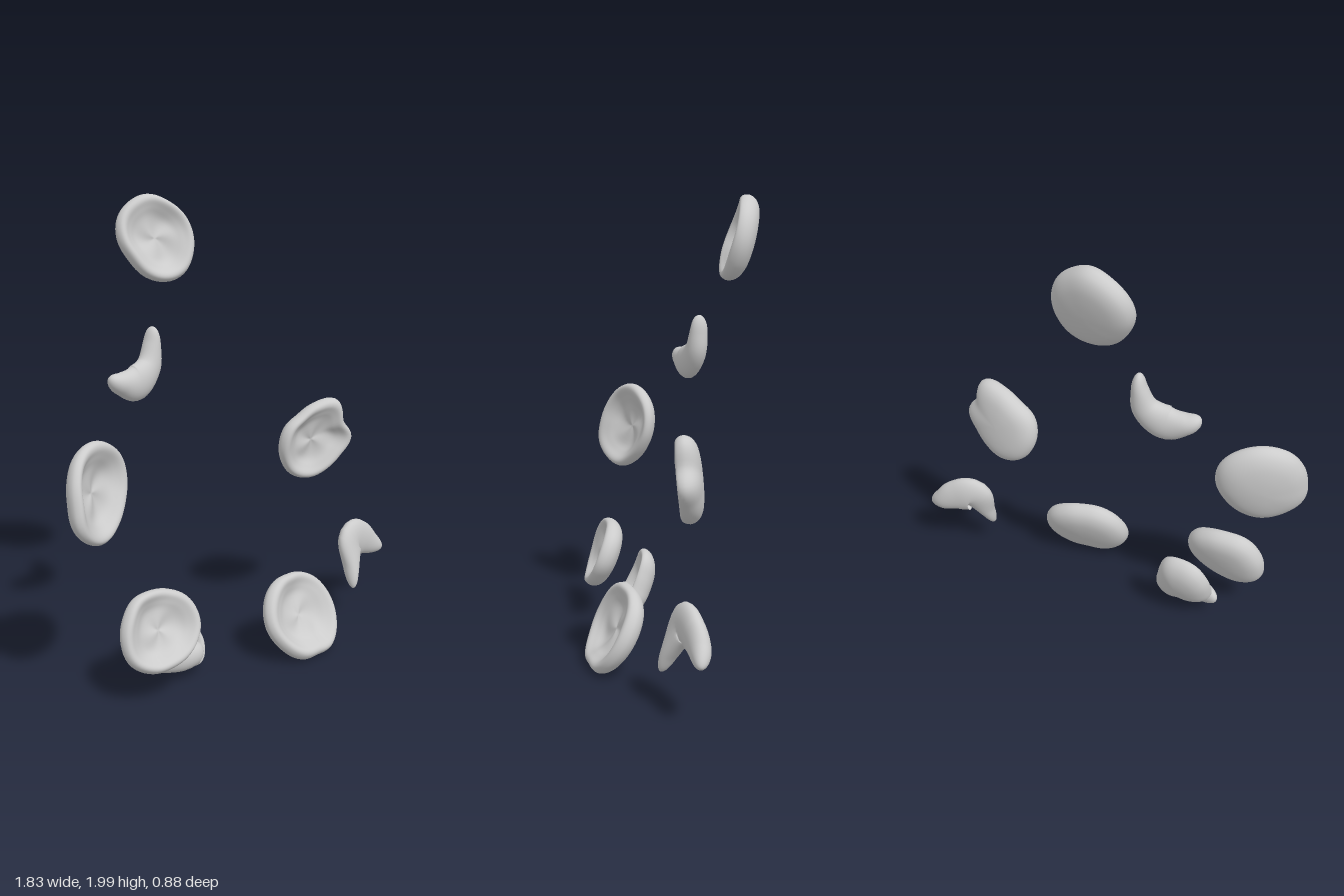
import * as THREE from 'three';
import { mergeVertices } from 'three/addons/utils/BufferGeometryUtils.js';

const V3 = (p) => new THREE.Vector3(...p);

// Weld seams so the deformed surface shades smoothly
function finish(geometry, name, material) {
  geometry.deleteAttribute('uv');
  geometry.deleteAttribute('normal');
  const welded = mergeVertices(geometry, 1e-5);
  welded.computeVertexNormals();
  const mesh = new THREE.Mesh(welded, material);
  mesh.name = name;
  return mesh;
}

// Smooth closed interpolation of outline radii spaced evenly by angle
function radiusAt(radii, angle) {
  const n = radii.length;
  const f = ((angle / (2 * Math.PI)) * n + n) % n;
  const i = Math.floor(f), t = f - i;
  const [a, b, c, d] = [-1, 0, 1, 2].map((k) => radii[(i + k + n) % n]);
  return b + 0.5 * t * (c - a + t * (2 * a - 5 * b + 4 * c - d + t * (3 * (b - c) + d - a)));
}

// Cross-section from back centre, round the rim, to the dimpled front centre
const PROFILE = new THREE.SplineCurve([
  [0, -0.05], [0.4, -0.048], [0.72, -0.04], [0.92, -0.02], [1, 0.012],
  [0.95, 0.042], [0.84, 0.05], [0.68, 0.034], [0.45, 0.014], [0, 0.008],
].map((p) => new THREE.Vector2(...p)));

// Dimpled disc cell: slope gives the tilt dz/dx and dz/dy, cup bows it backward
function discCell({ name, at, slope: [a, b], radii, thick = 1, cup = 0, phase = 0 }, material) {
  const profile = PROFILE.getPoints(44);
  profile.forEach((p) => { p.x = Math.max(p.x, 0); });
  profile[0].x = profile[profile.length - 1].x = 0;
  const geometry = new THREE.LatheGeometry(profile, 64);
  const pos = geometry.attributes.position;
  const normal = new THREE.Vector3(-a, -b, 1).normalize();
  const v = new THREE.Vector3();
  for (let i = 0; i < pos.count; i++) {
    const lx = pos.getZ(i), ly = pos.getX(i);
    let h = pos.getY(i) * thick;
    const s = Math.hypot(lx, ly), angle = Math.atan2(ly, lx);
    const r = s * radiusAt(radii, angle);
    // Soft creases in the dimple and a slightly uneven rim
    if (h > 0) h += 0.007 * s * (1 - s) * 4 * Math.sin(3 * angle + phase + 4 * s);
    h += 0.006 * s * s * Math.sin(2 * angle + phase) + cup * (s * s - 0.5);
    const dx = r * Math.cos(angle), dy = r * Math.sin(angle);
    v.set(dx, dy, a * dx + b * dy).addScaledVector(normal, h).add(V3(at));
    pos.setXYZ(i, v.x, v.y, v.z);
  }
  return finish(geometry, name, material);
}

// Curved cell: a sphere stretched along a spine; each node is x, y, z, half width, half depth
function crescentCell(name, nodes, material) {
  const spine = new THREE.CatmullRomCurve3(nodes.map((n) => V3(n.slice(0, 3))), false, 'catmullrom');
  const size = new THREE.CatmullRomCurve3(nodes.map((n) => V3([n[3], n[4], 0])), false, 'catmullrom');
  const geometry = new THREE.SphereGeometry(1, 32, 48);
  const pos = geometry.attributes.position;
  for (let i = 0; i < pos.count; i++) {
    const x = pos.getX(i), y = THREE.MathUtils.clamp(pos.getY(i), -1, 1), z = pos.getZ(i);
    const t = (y + 1) / 2;
    const p = spine.getPoint(t), s = size.getPoint(t), g = spine.getTangent(t);
    const len = Math.hypot(g.x, g.y), ring = Math.hypot(x, z);
    const k = ring < 1e-6 ? 0 : Math.sqrt(1 - y ** 8) / ring;
    const side = x * k * s.x;
    pos.setXYZ(i, p.x + (side * g.y) / len, p.y - (side * g.x) / len, p.z + z * k * s.y);
  }
  return finish(geometry, name, material);
}

export function createModel() {
  const group = new THREE.Group();
  group.name = 'cells';
  const material = new THREE.MeshStandardMaterial({ color: 0xcccccc });

  // Dimpled discs, outline radii every 30 degrees from +x
  const discs = [
    {
      name: 'topDisc', at: [-0.05, 1.81, -0.335], slope: [0.32, -0.3], cup: 0.01,
      radii: [0.17, 0.17, 0.17, 0.182, 0.178, 0.178, 0.175, 0.17, 0.182, 0.185, 0.182, 0.172],
    },
    {
      name: 'leftDisc', at: [-0.725, 0.89, -0.05], slope: [-0.28, -0.16], cup: 0.03, thick: 0.9, phase: 1,
      radii: [0.19, 0.2, 0.2, 0.203, 0.2, 0.19, 0.19, 0.21, 0.205, 0.2, 0.185, 0.18],
    },
    {
      name: 'rightDisc', at: [0.49, 0.88, 0.12], slope: [0.38, 0.1], cup: 0.01, thick: 0.95, phase: 2,
      radii: [0.19, 0.163, 0.21, 0.178, 0.155, 0.165, 0.165, 0.168, 0.178, 0.18, 0.168, 0.167],
    },
    {
      name: 'lowerLeftDisc', at: [-0.565, 0.3, 0.14], slope: [0.25, -0.38], cup: 0.01, phase: 3,
      radii: [0.185, 0.19, 0.17, 0.158, 0.163, 0.165, 0.178, 0.192, 0.175, 0.153, 0.15, 0.162],
    },
    {
      name: 'bottomDisc', at: [0.15, 0.178, 0.318], slope: [0.05, -0.52], cup: 0.01, phase: 4,
      radii: [0.207, 0.2, 0.178, 0.167, 0.182, 0.2, 0.21, 0.195, 0.185, 0.17, 0.188, 0.2],
    },
    {
      name: 'foldedCellBack', at: [-0.38, 0.19, 0.03], slope: [0.28, -0.45], cup: 0.03, thick: 0.8, phase: 5,
      radii: [0.12, 0.125, 0.152, 0.148, 0.148, 0.14, 0.14, 0.155, 0.15, 0.135, 0.165, 0.148],
    },
  ];
  discs.forEach((disc) => group.add(discCell(disc, material)));

  // Forward-turned lip of the folded cell
  group.add(crescentCell('foldedCellLip', [
    [-0.555, 0.13, 0.04, 0.035, 0.03], [-0.49, 0.12, 0.08, 0.055, 0.045],
    [-0.41, 0.115, 0.12, 0.06, 0.05], [-0.33, 0.11, 0.13, 0.05, 0.045],
    [-0.29, 0.09, 0.1, 0.04, 0.04],
  ], material));

  // Narrow crescents
  group.add(crescentCell('upperCrescent', [
    [-0.472, 1.285, -0.195, 0.032, 0.036], [-0.41, 1.255, -0.195, 0.05, 0.045],
    [-0.325, 1.245, -0.19, 0.078, 0.05], [-0.245, 1.3, -0.195, 0.06, 0.048],
    [-0.218, 1.39, -0.2, 0.037, 0.042], [-0.213, 1.467, -0.2, 0.024, 0.034],
  ], material));
  group.add(crescentCell('lowerCrescent', [
    [0.618, 0.15, 0.29, 0.02, 0.028], [0.643, 0.24, 0.26, 0.04, 0.04],
    [0.688, 0.35, 0.22, 0.09, 0.045], [0.775, 0.34, 0.215, 0.083, 0.045],
    [0.855, 0.295, 0.22, 0.055, 0.042], [0.92, 0.26, 0.24, 0.028, 0.03],
  ], material));
  return group;
}
